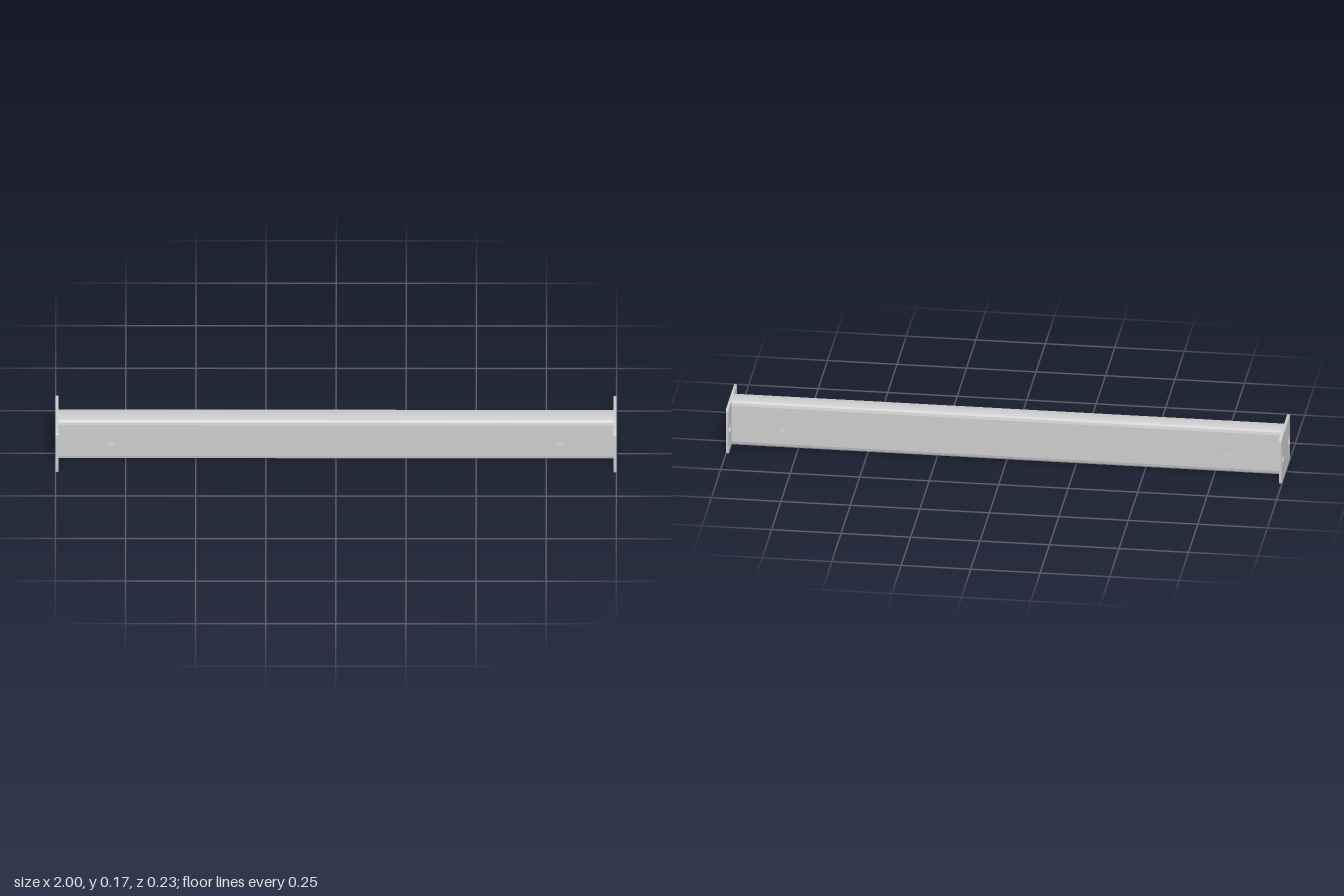
import * as THREE from 'three';
import { toCreasedNormals } from 'three/addons/utils/BufferGeometryUtils.js';

const HEIGHT = 0.175, MID = HEIGHT / 2;
const PLATE = { width: 0.23, thick: 0.01, corner: 0.008, holeZ: 0.08, holeR: 0.018 };
const TUBE = { width: 0.08, wall: 0.008, corner: 0.018, holeX: 0.8, holeR: 0.019 };
const LENGTH = 2 - 2 * PLATE.thick;

const material = new THREE.MeshStandardMaterial({ color: 0xcccccc });

function extrude(name, shape, depth) {
  const solid = new THREE.ExtrudeGeometry(shape, { depth, bevelEnabled: false, curveSegments: 16 });
  solid.translate(0, 0, -depth / 2);
  const mesh = new THREE.Mesh(toCreasedNormals(solid, Math.PI / 6), material);
  mesh.name = name;
  return mesh;
}

// Rectangle centred on the origin, with rounded corners and a hole on each side
function drilledPanel(width, height, corner, holeX, holeR) {
  const x = width / 2, y = height / 2, shape = new THREE.Shape();
  if (corner > 0) {
    shape.absarc(x - corner, y - corner, corner, 0, Math.PI / 2);
    shape.absarc(-x + corner, y - corner, corner, Math.PI / 2, Math.PI);
    shape.absarc(-x + corner, -y + corner, corner, Math.PI, Math.PI * 1.5);
    shape.absarc(x - corner, -y + corner, corner, Math.PI * 1.5, Math.PI * 2);
  } else {
    shape.moveTo(-x, -y).lineTo(x, -y).lineTo(x, y).lineTo(-x, y);
  }
  shape.closePath();
  for (const side of [-1, 1]) {
    shape.holes.push(new THREE.Path().absarc(side * holeX, 0, holeR, 0, Math.PI * 2, true));
  }
  return shape;
}

// Flat wall with its two rounded edges, as a cross-section of the tube
function channelProfile() {
  const { width, wall, corner } = TUBE;
  const c = width / 2 - corner, inner = corner - wall;
  const shape = new THREE.Shape();
  shape.absarc(c, 0, corner, 0, Math.PI / 2);
  shape.absarc(-c, 0, corner, Math.PI / 2, Math.PI);
  shape.absarc(-c, 0, inner, Math.PI, Math.PI / 2, true);
  shape.absarc(c, 0, inner, Math.PI / 2, 0, true);
  shape.closePath();
  return shape;
}

export function createModel() {
  const model = new THREE.Group();
  model.name = 'crossBeam';

  // Hollow tube: drilled front and back walls, rounded top and bottom
  const tube = new THREE.Group();
  tube.name = 'hollowTube';
  for (const side of [1, -1]) {
    const panel = drilledPanel(LENGTH, HEIGHT - 2 * TUBE.corner, 0, TUBE.holeX, TUBE.holeR);
    const wall = extrude(side > 0 ? 'frontWall' : 'backWall', panel, TUBE.wall);
    wall.position.set(0, MID, side * (TUBE.width - TUBE.wall) / 2);
    tube.add(wall);

    const channel = extrude(side > 0 ? 'topChannel' : 'bottomChannel', channelProfile(), LENGTH);
    channel.rotation.set(side > 0 ? 0 : Math.PI, Math.PI / 2, 0);
    channel.position.y = MID + side * (MID - TUBE.corner);
    tube.add(channel);
  }
  model.add(tube);

  // Bolt plates closing both ends
  for (const side of [1, -1]) {
    const shape = drilledPanel(PLATE.width, HEIGHT, PLATE.corner, PLATE.holeZ, PLATE.holeR);
    const plate = extrude(side > 0 ? 'leftEndPlate' : 'rightEndPlate', shape, PLATE.thick);
    plate.rotation.y = Math.PI / 2;
    plate.position.set(side * (1 - PLATE.thick / 2), MID, 0);
    model.add(plate);
  }
  return model;
}
